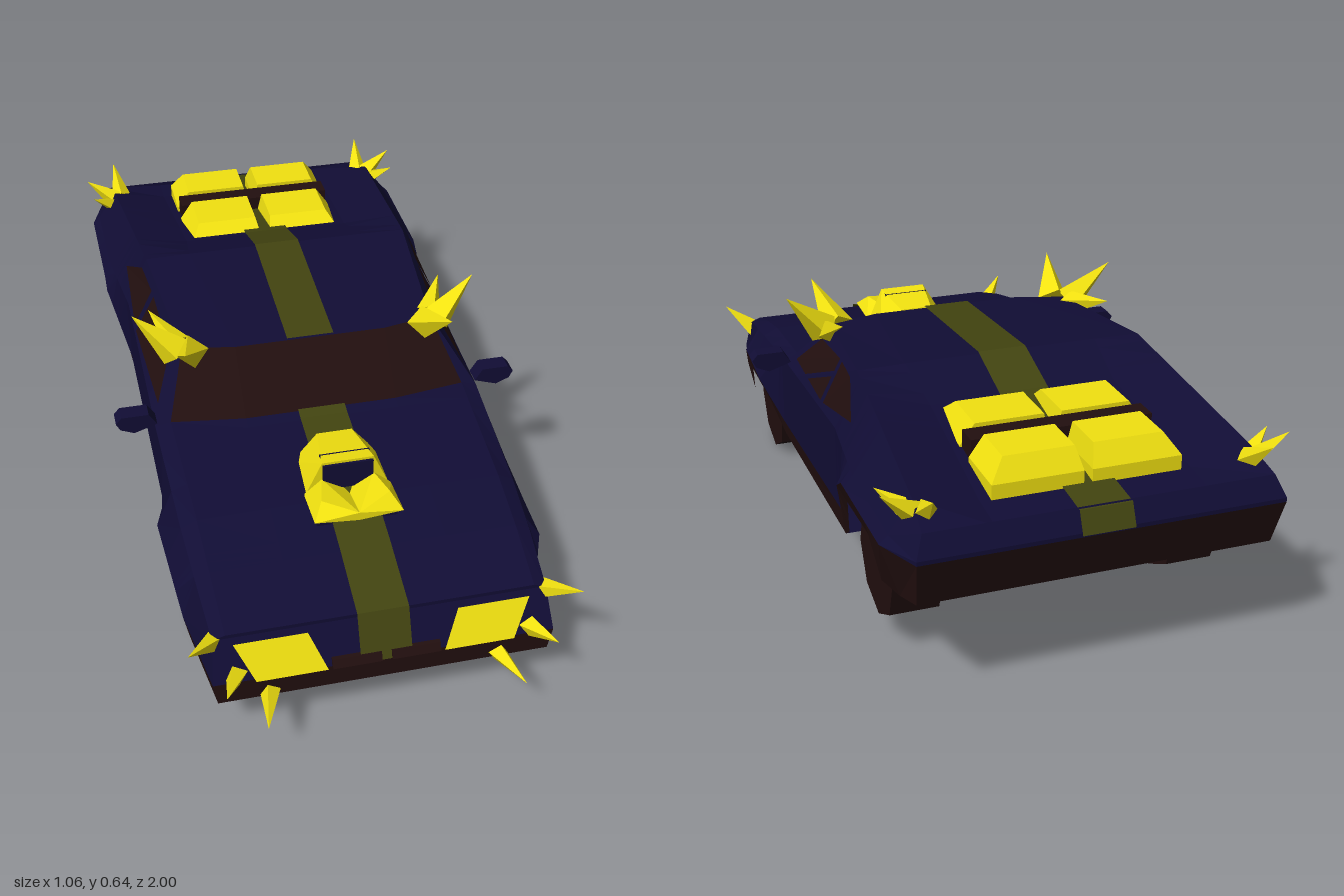
import * as THREE from 'three';
import { ConvexGeometry } from 'three/addons/geometries/ConvexGeometry.js';

const V = (x, y, z) => new THREE.Vector3(x, y, z);
const mat = (color) => new THREE.MeshStandardMaterial({ color, flatShading: true, side: THREE.DoubleSide });
const BLUE = mat(0x110d35), BROWN = mat(0x220f0f), YELLOW = mat(0xf2e210), OLIVE = mat(0x424410);

// Long lines of the half body, each point is [z, x, y]
const LINES = {
  bottom: [[.88, .40, .12], [.66, .43, .12], [.62, .44, .2], [.4, .44, .2], [.28, .42, .135], [-.385, .42, .155],
    [-.46, .43, .2], [-.53, .45, .32], [-.73, .45, .33], [-.77, .44, .245], [-1, .42, .29]],
  trim: [[.88, .41, .18], [.67, .445, .2], [.64, .455, .26], [.4, .465, .26], [.24, .43, .19], [-.385, .43, .225],
    [-.53, .475, .37], [-.57, .475, .395], [-.88, .475, .4], [-1, .43, .405]],
  shoulder: [[.88, .4, .275], [.52, .42, .345], [.18, .43, .395], [-.35, .43, .43], [-.6, .455, .425], [-.88, .455, .42], [-1, .43, .415]],
  roof: [[.88, .37, .285], [.52, .38, .365], [.18, .39, .405], [.05, .335, .54], [-.35, .37, .572], [-.88, .4, .495], [-1, .41, .465]],
  deck: [[.88, .2, .285], [.52, .2, .368], [.18, .2, .408], [.05, .2, .543], [-.35, .25, .574], [-.5, .235, .525], [-.88, .25, .465], [-1, .25, .455]],
};
LINES.centre = LINES.deck.map(([z, , y]) => [z, 0, y]);
const NAMES = Object.keys(LINES);
const STATIONS = [...new Set(NAMES.flatMap((n) => LINES[n].map((p) => p[0])))].sort((a, b) => b - a);

// Point of a long line at a given z
function at(name, z) {
  const line = LINES[name];
  let i = 0;
  while (i < line.length - 2 && z < line[i + 1][0]) i++;
  const [a, b] = [line[i], line[i + 1]];
  const t = (z - a[0]) / (b[0] - a[0]);
  return V(a[1] + (b[1] - a[1]) * t, a[2] + (b[2] - a[2]) * t, z);
}

// Body vertex: raked nose, raked tail and bowed windscreen
function bodyPoint(row, z) {
  const p = at(NAMES[row], z);
  if (z === .88 && row > 1) p.z -= .05;
  if (z === -1) p.z += [.035, 0, 0, .025, .025, .025][row];
  if (row > 3 && (z === .18 || z === .05)) p.z += .03;
  return p;
}

const flip = (p) => V(-p.x, p.y, p.z);

function addMesh(parent, name, geometry, material) {
  const m = new THREE.Mesh(geometry, material);
  m.name = name;
  parent.add(m);
  return m;
}

function addQuads(parent, name, quads, material) {
  const pts = quads.flatMap(([a, b, c, d]) => [a, b, c, a, c, d]);
  const g = new THREE.BufferGeometry().setFromPoints(pts);
  g.computeVertexNormals();
  return addMesh(parent, name, g, material);
}

// Convex block from corner points
const addBlock = (parent, name, pts, material) =>
  addMesh(parent, name, new ConvexGeometry(pts.map((p) => V(...p))), material);

function addSpike(parent, name, base, tip, r) {
  const a = V(...base), b = V(...tip);
  const dir = b.clone().sub(a);
  const m = addMesh(parent, name, new THREE.ConeGeometry(r, dir.length(), 4), YELLOW);
  m.position.copy(a).add(b).multiplyScalar(.5);
  m.quaternion.setFromUnitVectors(V(0, 1, 0), dir.normalize());
}

function addBody(car) {
  const paint = [], trim = [], glass = [], floor = [];
  const both = (list, q) => list.push(q, [q[3], q[2], q[1], q[0]].map(flip));
  for (let i = 0; i < STATIONS.length - 1; i++) {
    const z0 = STATIONS[i], z1 = STATIONS[i + 1];
    for (let r = 0; r < 5; r++) {
      const list = r === 0 ? trim : r > 2 && z0 <= .18 && z1 >= .05 ? glass : paint;
      both(list, [bodyPoint(r, z0), bodyPoint(r, z1), bodyPoint(r + 1, z1), bodyPoint(r + 1, z0)]);
    }
    if (z0 <= .28 && z1 >= -.385) {
      const a = bodyPoint(0, z0), b = bodyPoint(0, z1);
      floor.push([a, flip(a), flip(b), b]);
    }
  }
  // Nose and tail faces
  for (const z of [.88, -1]) {
    for (let r = 0; r < 4; r++) {
      const a = bodyPoint(r, z), b = bodyPoint(r + 1, z);
      const q = [flip(a), a, b, flip(b)];
      (r === 0 ? trim : paint).push(z > 0 ? q : q.reverse());
    }
  }
  addQuads(car, 'bodyShell', paint, BLUE);
  addQuads(car, 'lowerTrim', trim, BROWN);
  addQuads(car, 'windscreen', glass, BROWN);
  addQuads(car, 'floor', floor, BLUE);

  // Centre stripe down the nose, along the hood, roof and tail
  const lift = (p) => p.add(V(0, .006, 0));
  const path = STATIONS.map((z) => lift(bodyPoint(5, z)));
  path.unshift(V(0, .18, .886));
  path[1].z += .006;
  path.push(V(0, .41, -1.004));
  path[path.length - 2].z -= .006;
  const stripe = [];
  for (let i = 0; i < path.length - 1; i++) {
    const a = path[i], b = path[i + 1];
    if (a.y < .45 && b.y > .5 && a.z > 0) continue;
    const w = V(.062, 0, 0);
    stripe.push([a.clone().sub(w), a.clone().add(w), b.clone().add(w), b.clone().sub(w)]);
  }
  addQuads(car, 'stripe', stripe, OLIVE);
}

// Side glass lying on the cabin side, corners as [z, y]
function addSideWindow(parent, name, corners, s) {
  const q = corners.map(([z, y]) => {
    const a = at('shoulder', z), b = at('roof', z);
    const x = a.x + (b.x - a.x) * (y - a.y) / (b.y - a.y);
    return V(s * (x + .008), y, z);
  });
  addQuads(parent, name, [s > 0 ? q : q.reverse()], BROWN);
}

function addSide(car, s) {
  const side = new THREE.Group();
  side.name = s > 0 ? 'leftSideParts' : 'rightSideParts';
  car.add(side);
  addSideWindow(side, 'doorWindow', [[.12, .425], [-.2, .44], [-.2, .545], [.02, .515]], s);
  addSideWindow(side, 'quarterWindow', [[-.225, .443], [-.46, .49], [-.34, .553], [-.225, .547]], s);

  // Headlight on the raked nose
  const nose = (x, y) => V(s * x, y, .886 - (y - .18) * .5);
  const lamp = [nose(.14, .178), nose(.31, .178), nose(.355, .265), nose(.18, .265)];
  addQuads(side, 'headlight', [s > 0 ? lamp : lamp.reverse()], YELLOW);
  addBlock(side, 'grille', [.012, .13].flatMap((x) => [[s * x, .18, .87], [s * x, .18, .89], [s * x, .2, .88], [s * x, .2, .86]]), BROWN);

  // Door mirror
  const outline = [[.53, .425], [.515, .442], [.445, .442], [.425, .41], [.485, .39], [.52, .405]];
  addBlock(side, 'mirror', outline.flatMap(([x, y]) => [[s * x, y, .14], [s * x, y, .185]]), BLUE);

  // Wheels
  for (const [name, y, z] of [['frontWheel', .135, .5], ['rearWheel', .205, -.62]]) {
    const g = new THREE.CylinderGeometry(.135, .135, .12, 8).rotateZ(Math.PI / 2).rotateX(.1);
    addMesh(side, name, g, BROWN).position.set(s * .35, y, z);
  }

  // Spikes: base, tip, radius
  const spikes = {
    windscreenSpike: [[.31, .53, .06, .345, .62, .2, .045], [.35, .53, .05, .455, .637, .02, .045], [.34, .53, .02, .4, .57, -.1, .035]],
    noseSpike: [[.38, .25, .8, .465, .31, .9, .03], [.35, .19, .86, .39, .22, .96, .028], [.275, .13, .87, .305, .145, 1, .026]],
    tailSpike: [[.38, .47, -.9, .39, .54, -.99, .03], [.4, .47, -.89, .48, .53, -.91, .03], [.4, .46, -.87, .47, .51, -.83, .028]],
  };
  for (const [name, list] of Object.entries(spikes)) {
    for (const [bx, by, bz, tx, ty, tz, r] of list) addSpike(side, name, [s * bx, by, bz], [s * tx, ty, tz], r);
  }

  // Engine cover halves with sloped outer ends
  const cover = (z0, z1, top0, top1) => addBlock(side, 'engineCover', [
    ...[.01, .225].flatMap((x) => [[s * x, .46, z0], [s * x, .46, z1], [s * x, .5, z0], [s * x, .5, z1]]),
    ...[.022, .19].flatMap((x) => [[s * x, .55, top0], [s * x, .55, top1]])], YELLOW);
  cover(-.49, -.68, -.55, -.68);
  cover(-.74, -.885, -.74, -.855);
}

function addScoop(car) {
  const scoop = new THREE.Group();
  scoop.name = 'hoodScoop';
  car.add(scoop);
  const pair = ([x, y, z]) => [[x, y, z], [-x, y, z]];
  // Rear hood, dark mouth and base
  addBlock(scoop, 'scoopCover', [[.11, .36, .35], [.045, .44, .35], [.105, .37, .49], [.065, .46, .49]].flatMap(pair), YELLOW);
  addBlock(scoop, 'scoopMouth', [[.063, .38, .45], [.063, .455, .45], [.063, .38, .496], [.063, .453, .496]].flatMap(pair), BLUE);
  addBlock(scoop, 'scoopBase', [[.1, .34, .37], [.1, .375, .37], [.1, .33, .59], [.1, .372, .59]].flatMap(pair), BLUE);
  // Two lip wings dipping to the middle
  for (const s of [1, -1]) {
    addBlock(scoop, 'scoopLip', [[0, .37, .49], [.065, .41, .49], [.08, .37, .49], [0, .37, .61], [0, .393, .61],
      [.085, .412, .57], [.11, .38, .61], [.11, .37, .49]].map(([x, y, z]) => [s * x, y, z]), YELLOW);
  }
}

export function createModel() {
  const car = new THREE.Group();
  car.name = 'spikedCar';
  addBody(car);
  addSide(car, 1);
  addSide(car, -1);
  addScoop(car);
  // Strap across the engine covers
  const strap = addMesh(car, 'engineStrap', new THREE.BoxGeometry(.44, .07, .06), BROWN);
  strap.position.set(0, .505, -.71);
  return car;
}
